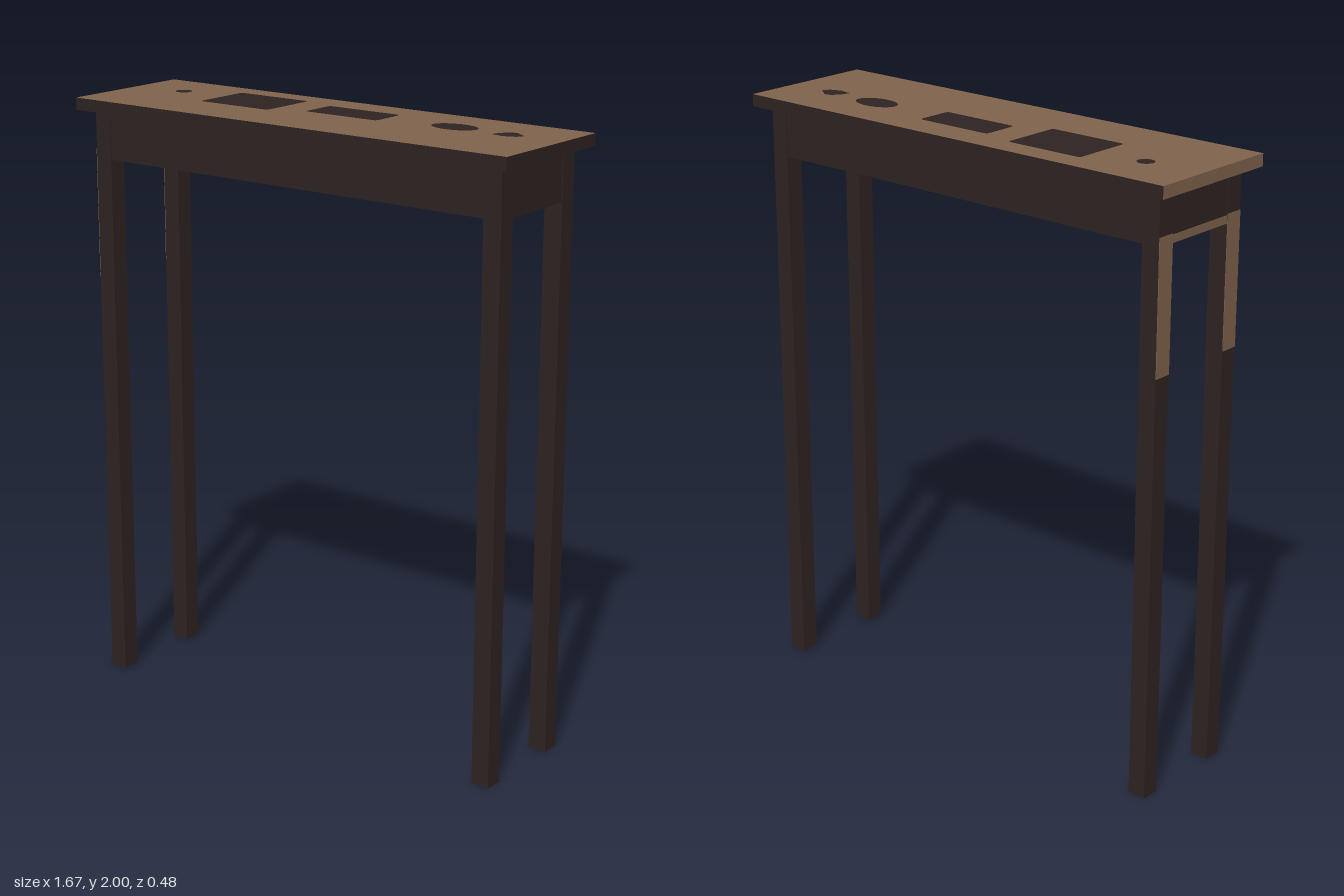
import * as THREE from 'three';

export function createModel() {
  const model = new THREE.Group();
  model.name = 'consoleTable';
  const darkWood = new THREE.MeshStandardMaterial({ color: 0x2d2322 });
  darkWood.name = 'darkWood';
  const lightWood = new THREE.MeshStandardMaterial({ color: 0x80634d });
  lightWood.name = 'lightWood';

  const box = (name, size, pos, material) => {
    const mesh = new THREE.Mesh(new THREE.BoxGeometry(...size), material);
    mesh.name = name;
    mesh.position.set(...pos);
    model.add(mesh);
  };

  // Top board: light upper face and light right-hand edge (order +x, -x, +y, -y, +z, -z)
  box('tableTop', [1.675, 0.04, 0.48], [0, 1.98, 0],
    [darkWood, lightWood, lightWood, darkWood, darkWood, darkWood]);

  // Legs and the apron boards between them
  const LEG = 0.062, LX = 0.763, LZ = 0.164, BOARD = 0.024;
  for (const s of [-1, 1]) {
    for (const t of [-1, 1]) box('leg', [LEG, 1.96, LEG], [s * LX, 0.98, t * LZ], darkWood);
    box('longApron', [2 * LX - LEG, 0.16, BOARD], [0, 1.88, s * (LZ + 0.016)], darkWood);
    box('endApron', [BOARD, 0.16, 2 * LZ - LEG], [s * (LX + 0.016), 1.88, 0], darkWood);
  }

  // Light worn band on the right-hand end
  const outer = -LX - LEG / 2;
  for (const t of [-1, 1]) {
    box('legBand', [0.002, 0.43, LEG], [outer - 0.001, 1.615, t * LZ], lightWood);
  }
  box('apronBand', [0.002, 0.025, 2 * LZ - LEG], [outer + 0.002, 1.8125, 0], lightWood);

  // Dark inlays on the top
  const inlay = (name, shape) => {
    const mesh = new THREE.Mesh(new THREE.ShapeGeometry(shape, 16), darkWood);
    mesh.name = name;
    mesh.rotation.x = -Math.PI / 2;
    mesh.position.y = 2.0015;
    model.add(mesh);
  };
  const oval = (x, z, rx, rz) => new THREE.Shape().absellipse(x, -z, rx, rz, 0, Math.PI * 2);
  const roundedRect = (x0, x1, z0, z1, r) => {
    const s = new THREE.Shape(), a = -z1, b = -z0;
    s.moveTo(x0 + r, a).lineTo(x1 - r, a).quadraticCurveTo(x1, a, x1, a + r);
    s.lineTo(x1, b - r).quadraticCurveTo(x1, b, x1 - r, b);
    s.lineTo(x0 + r, b).quadraticCurveTo(x0, b, x0, b - r);
    s.lineTo(x0, a + r).quadraticCurveTo(x0, a, x0 + r, a);
    return s;
  };
  inlay('dotInlay', oval(-0.64, -0.066, 0.028, 0.027));
  inlay('squareInlay', roundedRect(-0.468, -0.19, -0.158, 0.05, 0.012));
  inlay('barInlay', roundedRect(-0.08, 0.197, -0.13, -0.004, 0.014));
  inlay('ovalInlay', oval(0.45, -0.062, 0.08, 0.05));
  const outline = [[0.605, 0.028], [0.65, 0.02], [0.69, 0.035], [0.702, 0.058],
    [0.66, 0.09], [0.635, 0.086], [0.615, 0.06]];
  inlay('pebbleInlay', new THREE.Shape(outline.map(([x, y]) => new THREE.Vector2(x, y))));

  return model;
}
